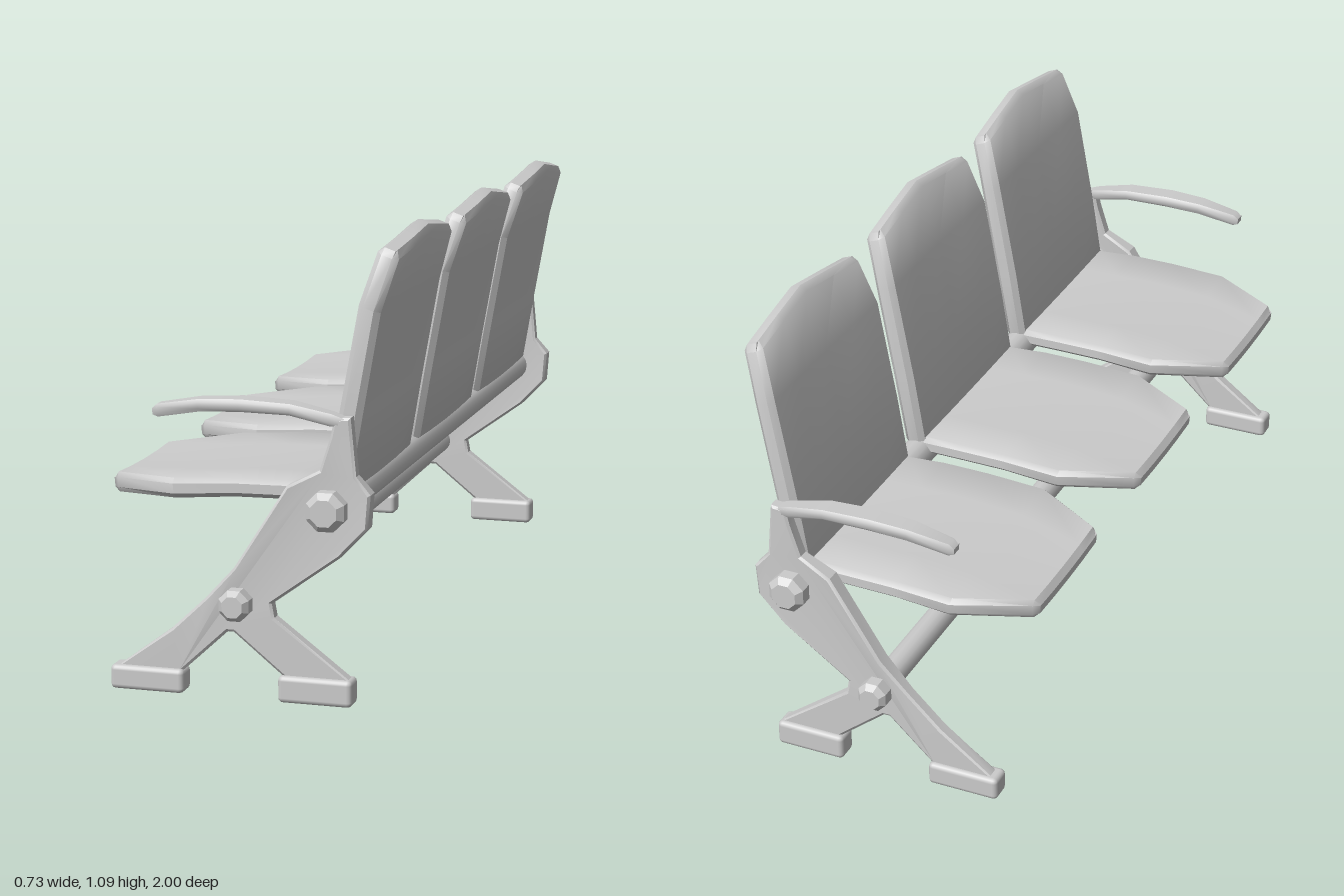
import * as THREE from 'three';
import { toCreasedNormals } from 'three/addons/utils/BufferGeometryUtils.js';
import { RoundedBoxGeometry } from 'three/addons/geometries/RoundedBoxGeometry.js';

const material = new THREE.MeshStandardMaterial({ color: 0xcccccc });

function add(parent, name, geometry, x = 0, y = 0, z = 0) {
  const mesh = new THREE.Mesh(geometry, material);
  mesh.name = name;
  mesh.position.set(x, y, z);
  parent.add(mesh);
  return mesh;
}

// Soft-edged slab lofted along x/y stations: [x1, y1, x2, y2, halfWidth, crown]
// (x1, y1) lies on the padded face, (x2, y2) on the opposite face; width runs along z.
function slab(stations, edge, dish = 0) {
  const first = stations[0], last = stations[stations.length - 1];
  const columns = [-1, -1 + edge, -0.5, 0, 0.5, 1 - edge, 1];
  const m = columns.length, n = 2 * m;
  const positions = [], index = [];
  stations.forEach((s) => {
    const [x1, y1, x2, y2, half, crown = 0] = s;
    const isEnd = s === first || s === last;
    const point = (w, face) => {
      const round = Math.abs(w) === 1 || isEnd ? 0.25 : 0;
      const t = face ? 1 - round : round;
      // hollow of the padded face, perpendicular to the slab
      const len = Math.hypot(x2 - x1, y2 - y1);
      const hollow = dish * (1 - w * w) / len;
      const rise = crown * (1 - Math.abs(w));
      positions.push(
        x1 + (x2 - x1) * (t + hollow) + rise * 0.2,
        y1 + (y2 - y1) * (t + hollow) + rise,
        w * half);
    };
    columns.forEach((w) => point(w, 0));
    [...columns].reverse().forEach((w) => point(w, 1));
  });
  const quad = (a, b, c, d) => index.push(a, b, c, a, c, d);
  for (let i = 0; i < stations.length - 1; i++) {
    for (let j = 0; j < n; j++) {
      const k = (j + 1) % n;
      quad(i * n + j, i * n + k, (i + 1) * n + k, (i + 1) * n + j);
    }
  }
  const e = (stations.length - 1) * n;
  for (let j = 0; j < m - 1; j++) {
    quad(e + j, e + j + 1, e + n - 2 - j, e + n - 1 - j);
    quad(n - 1 - j, n - 2 - j, j + 1, j);
  }
  const geometry = new THREE.BufferGeometry();
  geometry.setAttribute('position', new THREE.Float32BufferAttribute(positions, 3));
  geometry.setIndex(index);
  return toCreasedNormals(geometry, 0.75);
}

// Side frame: crossed legs, hub and armrest post in one plate
function frameGeometry() {
  const outline = [
    [-0.31, 0.05], [-0.15, 0.05], [-0.035, 0.157], [-0.02, 0.157], [0.106, 0.055],
    [0.26, 0.06], [0.078, 0.197], [0.072, 0.23], [0.236, 0.35], [0.302, 0.42],
    [0.308, 0.5], [0.273, 0.54], [0.26, 0.675], [0.222, 0.672], [0.213, 0.63],
    [0.187, 0.55], [0.11, 0.51], [-0.017, 0.31], [-0.086, 0.235], [-0.17, 0.155],
  ].map(([x, y]) => new THREE.Vector2(x, y));
  const geometry = new THREE.ExtrudeGeometry(new THREE.Shape(outline), {
    depth: 0.032, bevelEnabled: true, bevelThickness: 0.006, bevelSize: 0.006,
    bevelOffset: -0.006, bevelSegments: 1,
  });
  geometry.translate(0, 0, -0.016);
  // The plate is thickest around the hub and thinner at the legs and post
  const p = geometry.attributes.position;
  for (let i = 0; i < p.count; i++) {
    const y = p.getY(i);
    p.setZ(i, p.getZ(i) * (y > 0.29 && y < 0.53 ? 1.05 : 0.78));
  }
  return toCreasedNormals(geometry, 0.5);
}

// Faceted end cap pointing along +z
function capGeometry(radius) {
  const r = radius / Math.cos(Math.PI / 8);
  const profile = [[r, 0], [r, 0.03], [r * 0.68, 0.045], [0, 0.045]]
    .map(([x, y]) => new THREE.Vector2(x, y));
  const geometry = new THREE.LatheGeometry(profile, 8);
  geometry.rotateY(Math.PI / 8);
  geometry.rotateX(Math.PI / 2);
  return toCreasedNormals(geometry, 0.5);
}

export function createModel() {
  const model = new THREE.Group();
  model.name = 'bench';

  const seatGeometry = slab([
    [-0.364, 0.48, -0.36, 0.436, 0.17],
    [-0.35, 0.485, -0.348, 0.437, 0.185],
    [-0.18, 0.5, -0.175, 0.453, 0.28],
    [-0.03, 0.509, -0.03, 0.465, 0.28],
    [0.09, 0.511, 0.09, 0.467, 0.28],
    [0.19, 0.508, 0.19, 0.465, 0.275],
    [0.215, 0.506, 0.215, 0.466, 0.268],
  ], 0.05, 0.006);
  const backGeometry = slab([
    [0.185, 0.48, 0.238, 0.475, 0.275],
    [0.19, 0.5, 0.243, 0.494, 0.28],
    [0.217, 0.67, 0.271, 0.66, 0.28],
    [0.264, 0.925, 0.315, 0.908, 0.28],
    [0.301, 1.042, 0.35, 1.025, 0.255, 0.035],
    [0.306, 1.058, 0.356, 1.04, 0.243, 0.035],
  ], 0.05, 0.006);

  // Three seats in a row
  for (const z of [-0.63, 0, 0.63]) {
    const seat = new THREE.Group();
    seat.name = 'seat';
    seat.position.z = z;
    add(seat, 'seatCushion', seatGeometry);
    add(seat, 'backrest', backGeometry);
    model.add(seat);
  }

  // Rails along the bench
  const rails = [
    { name: 'upperRail', x: 0.21, y: 0.462, r: 0.04, cap: 0.045 },
    { name: 'lowerRail', x: -0.008, y: 0.228, r: 0.033, cap: 0.036 },
  ];
  for (const { name, x, y, r } of rails) {
    add(model, name, new THREE.CylinderGeometry(r, r, 1.9, 16).rotateX(Math.PI / 2), x, y, 0);
  }

  // End frames with feet, rail caps and armrests
  const frame = frameGeometry();
  const armrest = slab([
    [-0.213, 0.68, -0.211, 0.65, 0.014],
    [-0.2, 0.683, -0.198, 0.653, 0.018],
    [-0.098, 0.701, -0.096, 0.672, 0.028],
    [0, 0.706, 0, 0.677, 0.031],
    [0.12, 0.701, 0.118, 0.675, 0.029],
    [0.215, 0.682, 0.21, 0.654, 0.02],
    [0.258, 0.675, 0.252, 0.645, 0.014],
  ], 0.2);
  for (const side of [-1, 1]) {
    const end = new THREE.Group();
    end.name = side > 0 ? 'leftEnd' : 'rightEnd';
    end.position.z = side * 0.935;
    if (side < 0) end.rotation.y = 0;
    add(end, 'sideFrame', frame);
    add(end, 'armrest', armrest);
    add(end, 'frontFoot', new RoundedBoxGeometry(0.18, 0.058, 0.06, 2, 0.012), -0.23, 0.03, 0);
    add(end, 'rearFoot', new RoundedBoxGeometry(0.177, 0.064, 0.06, 2, 0.012), 0.177, 0.032, 0);
    for (const { x, y, cap } of rails) {
      const mesh = add(end, 'railCap', capGeometry(cap), x, y, side * 0.02);
      if (side < 0) mesh.rotation.y = Math.PI;
    }
    model.add(end);
  }
  return model;
}
